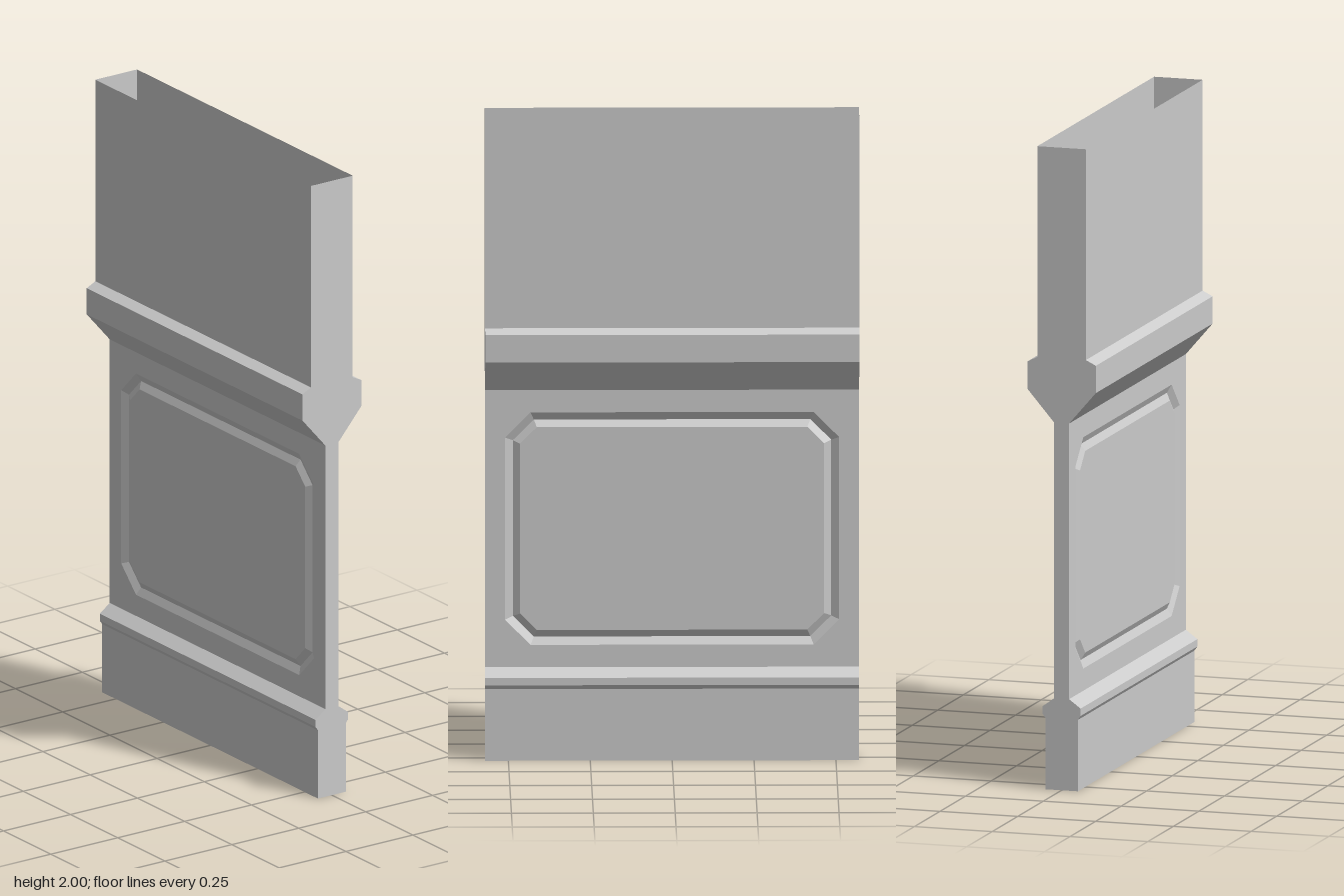
import * as THREE from 'three';

const HALF_W = 0.571;
// Half of the side outline, bottom to top, as [z, y]
const PROFILE = [
  [0.052, 0], [0.052, 0.222], [0.061, 0.235], [0.061, 0.258], [0.024, 0.285],
  [0.024, 1.143], [0.11, 1.243], [0.11, 1.328], [0.078, 1.344], [0.078, 2],
];
const PANEL = 4; // profile segment that carries the framed panel

const material = new THREE.MeshStandardMaterial({
  color: 0xcccccc, flatShading: true, side: THREE.DoubleSide,
});

function addMesh(parent, name, geometry) {
  const mesh = new THREE.Mesh(geometry, material);
  mesh.name = name;
  parent.add(mesh);
  return mesh;
}

// Flat quads, each given as four corners in counter-clockwise order
function quads(list) {
  const pos = [];
  for (const [a, b, c, d] of list) pos.push(...a, ...b, ...c, ...a, ...c, ...d);
  const g = new THREE.BufferGeometry();
  g.setAttribute('position', new THREE.Float32BufferAttribute(pos, 3));
  g.computeVertexNormals();
  return g;
}

// Rectangle with clipped corners, moved inwards evenly by inset
function octagon(inset) {
  const w = 0.51 - inset, h = 0.36 - inset, cy = 0.714;
  const c = 0.078 - inset * (2 - Math.SQRT2);
  return [
    [w, h - c], [w - c, h], [c - w, h], [-w, h - c],
    [-w, c - h], [c - w, -h], [w - c, -h], [w, c - h],
  ].map(([x, y]) => new THREE.Vector2(x, y + cy));
}

function wallSide(name) {
  const side = new THREE.Group();
  side.name = name;

  // Plain bands and mouldings
  const bands = [];
  for (let i = 0; i < PROFILE.length - 1; i++) {
    if (i === PANEL) continue;
    const [z0, y0] = PROFILE[i], [z1, y1] = PROFILE[i + 1];
    bands.push([[-HALF_W, y0, z0], [HALF_W, y0, z0], [HALF_W, y1, z1], [-HALF_W, y1, z1]]);
  }
  addMesh(side, 'mouldings', quads(bands));

  // Panel surround, groove and centre field
  const [z, bottom] = PROFILE[PANEL], top = PROFILE[PANEL + 1][1];
  const rings = [octagon(0), octagon(0.024), octagon(0.046)];
  const surround = new THREE.Shape([
    new THREE.Vector2(-HALF_W, bottom), new THREE.Vector2(HALF_W, bottom),
    new THREE.Vector2(HALF_W, top), new THREE.Vector2(-HALF_W, top),
  ]);
  surround.holes.push(new THREE.Path(rings[0]));
  addMesh(side, 'panelSurround', new THREE.ShapeGeometry(surround)).position.z = z;
  addMesh(side, 'panelField', new THREE.ShapeGeometry(new THREE.Shape(rings[2]))).position.z = z;

  const depth = [z, z - 0.012, z], groove = [];
  for (let r = 0; r < 2; r++) {
    for (let i = 0; i < 8; i++) {
      const j = (i + 1) % 8;
      const at = (ring, k) => [rings[ring][k].x, rings[ring][k].y, depth[ring]];
      groove.push([at(r, i), at(r, j), at(r + 1, j), at(r + 1, i)]);
    }
  }
  addMesh(side, 'panelGroove', quads(groove));
  return side;
}

export function createModel() {
  const model = new THREE.Group();
  model.name = 'wallSection';

  // Both faces are alike
  const back = wallSide('backFace');
  back.rotation.y = Math.PI;
  model.add(wallSide('frontFace'), back);

  // End walls, cut to the full outline
  const outline = new THREE.Shape([
    ...PROFILE.map(([z, y]) => new THREE.Vector2(z, y)),
    ...PROFILE.map(([z, y]) => new THREE.Vector2(-z, y)).reverse(),
  ]);
  for (const s of [1, -1]) {
    const end = addMesh(model, s > 0 ? 'leftEnd' : 'rightEnd', new THREE.ShapeGeometry(outline));
    end.rotation.y = s * Math.PI / 2;
    end.position.x = s * HALF_W;
  }

  // Floor of the open upper trough
  const [fz, fy] = PROFILE[PANEL + 1];
  addMesh(model, 'troughFloor', quads([[
    [-HALF_W, fy, fz], [HALF_W, fy, fz], [HALF_W, fy, -fz], [-HALF_W, fy, -fz],
  ]]));
  return model;
}
